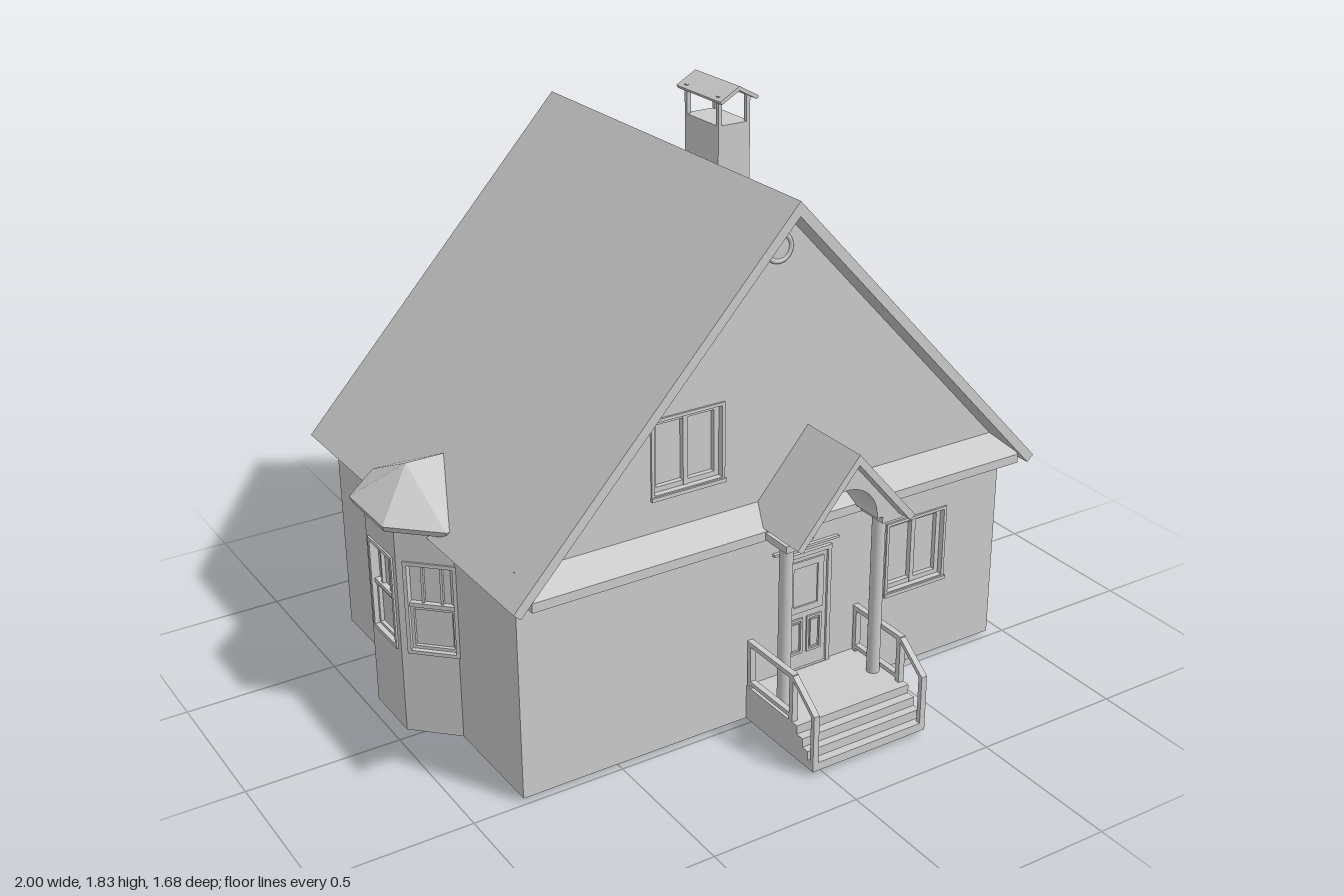
import * as THREE from 'three';
import { ConvexGeometry } from 'three/addons/geometries/ConvexGeometry.js';

const material = new THREE.MeshStandardMaterial({ color: 0xcccccc, side: THREE.DoubleSide });
const CX = 0.055, SLOPE = 1.08, RIDGE = 1.70, THICK = 0.045;
const FRONT = 0.487, BACK = -0.747, WALL = 0.03;

function add(parent, name, geometry, x = 0, y = 0, z = 0) {
  const mesh = new THREE.Mesh(geometry, material);
  mesh.name = name;
  mesh.position.set(x, y, z);
  parent.add(mesh);
  return mesh;
}

// Box given by its two extreme corners
function block(parent, name, x0, x1, y0, y1, z0, z1) {
  return add(parent, name, new THREE.BoxGeometry(x1 - x0, y1 - y0, z1 - z0),
    (x0 + x1) / 2, (y0 + y1) / 2, (z0 + z1) / 2);
}

function polygon(points) {
  return new THREE.Shape(points.map(([x, y]) => new THREE.Vector2(x, y)));
}

const rect = (x0, x1, y0, y1) => [[x0, y0], [x1, y0], [x1, y1], [x0, y1]];

function extrude(shape, depth) {
  return new THREE.ExtrudeGeometry(shape, { depth, bevelEnabled: false, curveSegments: 20 });
}

// Profile drawn in (z, y), swept along x from x0 to x1
function sweepX(parent, name, points, x0, x1) {
  const geometry = extrude(polygon(points.map(([z, y]) => [-z, y])), x1 - x0);
  geometry.rotateY(Math.PI / 2);
  return add(parent, name, geometry, x0);
}

// Rectangular ring, facing +z
function ring(parent, name, x0, x1, y0, y1, border, z, depth) {
  const shape = polygon(rect(x0, x1, y0, y1));
  shape.holes.push(polygon(rect(x0 + border, x1 - border, y0 + border, y1 - border)));
  return add(parent, name, extrude(shape, depth), 0, 0, z);
}

// Recessed casement window; z = 0 is the wall surface
function casement(parent, name, x0, x1, y0, y1) {
  const w = new THREE.Group();
  w.name = name;
  ring(w, 'windowSurround', x0 - 0.006, x1 + 0.006, y0 - 0.006, y1 + 0.006, 0.01, -0.02, 0.026);
  ring(w, 'windowSash', x0, x1, y0, y1, 0.02, -WALL, 0.016);
  const mid = (x0 + x1) / 2;
  block(w, 'mullion', mid - 0.008, mid + 0.008, y0, y1, -WALL, -0.012);
  block(w, 'windowSill', x0 - 0.008, x1 + 0.008, y0 - 0.012, y0, -0.02, 0.012);
  parent.add(w);
}

// Gable-ended wall with window openings, outer face on z = 0
function gableWall(parent, name, windows) {
  const half = 0.885, eave = RIDGE - THICK - SLOPE * half + 0.01;
  const shape = polygon([[-half, 0], [half, 0], [half, eave], [0, RIDGE - THICK + 0.01], [-half, eave]]);
  windows.forEach((r) => shape.holes.push(polygon(rect(...r))));
  const g = new THREE.Group();
  g.name = name;
  add(g, 'wall', extrude(shape, WALL), 0, 0, -WALL);
  windows.forEach((r) => casement(g, 'window', ...r));
  parent.add(g);
  return g;
}

// Pitched roof slabs around x = 0
function gableRoof(parent, name, half, ridge, slope, thick, z0, z1, x) {
  const e = ridge - slope * half, inset = thick * 0.5;
  const shape = polygon([[0, ridge], [-half, e], [-half + inset, e - thick + inset * slope],
    [0, ridge - thick], [half - inset, e - thick + inset * slope], [half, e]]);
  return add(parent, name, extrude(shape, z1 - z0), x, 0, z0);
}

function buildHouse(house) {
  // Solid core behind the front and back walls
  const half = 0.885, eave = RIDGE - THICK - SLOPE * half + 0.01;
  const core = polygon([[-half, 0], [half, 0], [half, eave], [0, RIDGE - THICK + 0.01], [-half, eave]]);
  add(house, 'houseBody', extrude(core, FRONT - BACK - 2 * WALL), CX, 0, BACK + WALL);

  const front = gableWall(house, 'frontWall', [[0.44, 0.67, 0.28, 0.525], [-0.43, -0.19, 0.862, 1.098]]);
  front.position.set(CX, 0, FRONT);
  const back = gableWall(house, 'backWall',
    [[-0.435, -0.19, 0.29, 0.535], [-0.435, -0.19, 0.88, 1.12], [0.18, 0.43, 0.88, 1.12]]);
  back.position.set(CX, 0, BACK);
  back.rotation.y = Math.PI;

  // Round attic window
  add(house, 'roundWindowFrame', new THREE.TorusGeometry(0.041, 0.008, 8, 32), CX, 1.535, FRONT);
  add(house, 'roundWindowPane', new THREE.CircleGeometry(0.038, 32), CX, 1.535, FRONT + 0.002);

  gableRoof(house, 'mainRoof', 0.943, RIDGE, SLOPE, THICK, -0.823, 0.587, CX);

  // Skirt roof across the front
  sweepX(house, 'skirtRoof', [[0.48, 0.667], [0.582, 0.667], [0.582, 0.697], [0.48, 0.75]],
    CX - 0.882, CX + 0.882);
}

function buildChimney(house) {
  const g = new THREE.Group();
  g.name = 'chimney';
  const x0 = 0.29, x1 = 0.41, z0 = -0.372, z1 = -0.178;
  block(g, 'chimneyStack', x0, x1, 1.2, 1.695, z0, z1);
  for (const x of [x0, x1 - 0.014]) for (const z of [z0, z1 - 0.014])
    block(g, 'capPost', x, x + 0.014, 1.69, 1.79, z, z + 0.014);
  gableRoof(g, 'chimneyCap', 0.073, 1.82, 0.55, 0.014, -0.405, -0.152, 0.352);
  house.add(g);
}

function buildBay(house) {
  const bay = new THREE.Group();
  bay.name = 'bayWindow';
  bay.position.z = -0.135;
  const top = 0.71, t = 0.022;
  const outline = [[-0.81, -0.255], [-0.96, -0.105], [-0.96, 0.105], [-0.81, 0.255]];
  const inner = [[-0.8, -0.234], [-0.938, -0.096], [-0.938, 0.096], [-0.8, 0.234]];
  const core = extrude(polygon(inner.map(([x, z]) => [x, -z])), top);
  core.rotateX(-Math.PI / 2);
  add(bay, 'bayBody', core);

  // Three window walls, each facing outwards
  for (let i = 0; i < 3; i++) {
    const [ax, az] = outline[i], [bx, bz] = outline[i + 1];
    const w = Math.hypot(bx - ax, bz - az), h = w / 2;
    const face = new THREE.Group();
    face.name = 'bayFace';
    face.position.set((ax + bx) / 2, 0, (az + bz) / 2);
    face.rotation.y = -Math.PI / 2 + (i - 1) * Math.PI / 4;
    const r = [-0.084, 0.084, 0.28, 0.595];
    const wall = polygon(rect(-h, h, 0, top));
    wall.holes.push(polygon(rect(...r)));
    add(face, 'bayWall', extrude(wall, t), 0, 0, -t);
    ring(face, 'baySurround', ...r, 0.012, -t, t + 0.006);
    block(face, 'transom', -0.08, 0.08, 0.438, 0.452, -t, -0.004);
    for (const x of [-0.03, 0.03])
      block(face, 'glazingBar', x - 0.004, x + 0.004, 0.45, 0.59, -t, -0.01);
    ring(face, 'lowerSash', -0.074, 0.074, 0.29, 0.44, 0.012, -t, 0.012);
    bay.add(face);
  }

  // Hipped bay roof running into the main roof
  const points = [[-0.86, 0.848, 0], [-0.72, 0.848, 0]];
  for (const s of [-1, 1]) for (const [x, z] of [[-1, 0.12], [-0.86, 0.258], [-0.72, 0.258]])
    points.push([x, 0.724, s * z], [x + 0.008, 0.704, s * (z - 0.006)]);
  add(bay, 'bayRoof', new ConvexGeometry(points.map((p) => new THREE.Vector3(...p))));
  house.add(bay);
}

function buildDoor(house) {
  const door = new THREE.Group();
  door.name = 'frontDoor';
  door.position.set(0.172, 0, FRONT);
  block(door, 'doorLeaf', -0.085, 0.085, 0.117, 0.52, -0.01, 0.004);
  ring(door, 'doorFrame', -0.096, 0.096, 0.105, 0.53, 0.014, 0, 0.012);
  ring(door, 'doorPane', -0.068, 0.068, 0.32, 0.5, 0.022, 0, 0.01);
  for (const x of [-0.036, 0.036]) {
    ring(door, 'lowerPanelFrame', x - 0.028, x + 0.028, 0.172, 0.298, 0.008, 0, 0.01);
    block(door, 'lowerPanel', x - 0.014, x + 0.014, 0.188, 0.282, 0, 0.009);
  }
  block(door, 'doorLintel', -0.122, 0.122, 0.545, 0.553, 0, 0.012);
  house.add(door);
}

function buildPorch(house) {
  const porch = new THREE.Group();
  porch.name = 'porch';
  porch.position.x = 0.172;
  const deck = 0.117;
  sweepX(porch, 'porchSteps', [[0.48, 0], [0.84, 0], [0.84, 0.028], [0.812, 0.028], [0.812, 0.058],
    [0.785, 0.058], [0.785, 0.088], [0.755, 0.088], [0.755, deck], [0.48, deck]], -0.213, 0.213);

  for (const s of [-1, 1]) {
    // Column, capital beam and railing on each side
    add(porch, 'column', new THREE.CylinderGeometry(0.021, 0.021, 0.56, 24), s * 0.172, 0.395, 0.627);
    block(porch, 'beam', s * 0.177 - 0.039, s * 0.177 + 0.039, 0.67, 0.693, 0.48, 0.687);
    const x0 = s * 0.203 - 0.01, x1 = s * 0.203 + 0.01;
    block(porch, 'railPost', x0, x1, deck, 0.28, 0.492, 0.508);
    block(porch, 'railPost', x0, x1, deck, 0.28, 0.712, 0.73);
    block(porch, 'bottomRail', x0, x1, 0.128, 0.142, 0.5, 0.72);
    block(porch, 'topRail', x0, x1, 0.264, 0.28, 0.49, 0.73);
    block(porch, 'stairPost', x0, x1, 0.02, 0.185, 0.824, 0.84);
    sweepX(porch, 'stairRail', [[0.725, 0.264], [0.84, 0.174], [0.84, 0.192], [0.725, 0.28]], x0, x1);
  }

  // Gable infill with a vaulted arch
  const gable = new THREE.Shape();
  gable.moveTo(-0.2, 0.693);
  gable.lineTo(-0.117, 0.693);
  gable.absarc(0, 0.7, 0.117, Math.PI, 0, true);
  gable.lineTo(0.117, 0.693);
  gable.lineTo(0.2, 0.693);
  gable.lineTo(0, 0.93);
  add(porch, 'porchGable', extrude(gable, 0.207), 0, 0, 0.48);
  gableRoof(porch, 'porchRoof', 0.216, 0.956, 1.17, 0.034, 0.48, 0.743, 0);
  house.add(porch);
}

export function createModel() {
  const model = new THREE.Group();
  model.name = 'house';
  const house = new THREE.Group();
  house.name = 'cottage';
  // The whole building leans back very slightly
  house.rotation.x = -0.01;
  house.position.y = 0.0075;
  buildHouse(house);
  buildChimney(house);
  buildBay(house);
  buildDoor(house);
  buildPorch(house);
  model.add(house);
  return model;
}
